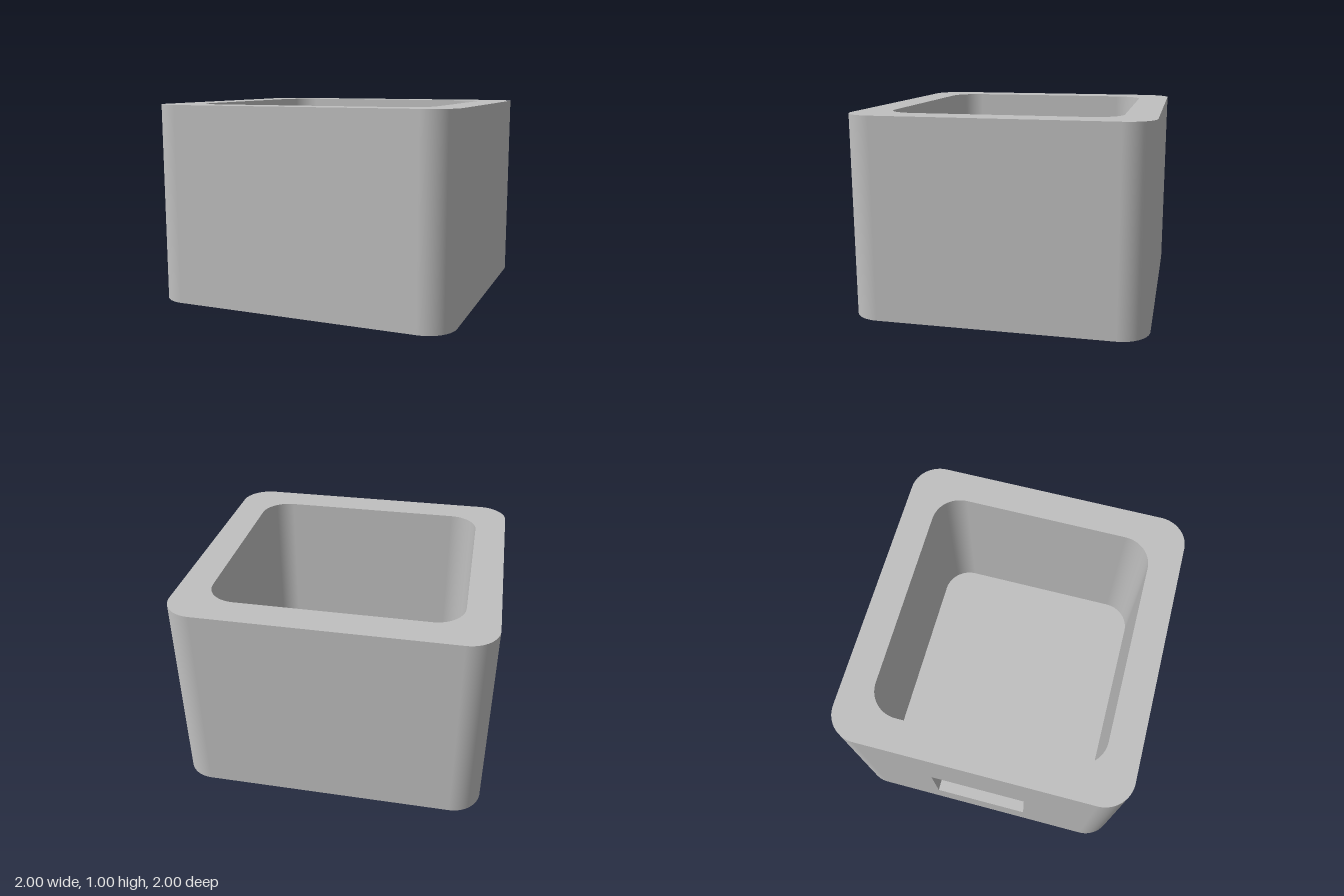
import * as THREE from 'three';

const HEIGHT = 1, FLOOR = 0.16, WALL = 0.16;
const OUTER = { a: 0.77, b: 0.73, r: 0.147 };                 // half length, half width, corner radius
const INNER = { a: OUTER.a - WALL, b: OUTER.b - WALL, r: 0.145 };
const WINDOW = { w: 0.49, y0: 0.21, y1: 0.59 };

// Rounded rectangle as points with outward normals, starting and ending on the -x side
function outline({ a, b, r }, steps = 16) {
  const points = [];
  [[-1, -1], [1, -1], [1, 1], [-1, 1]].forEach(([sx, sz], corner) => {
    for (let i = 0; i <= steps; i++) {
      const t = Math.PI + (corner + i / steps) * Math.PI / 2;
      const nx = Math.cos(t), nz = Math.sin(t);
      points.push({ x: sx * (a - r) + r * nx, z: sz * (b - r) + r * nz, nx, nz });
    }
  });
  return points;
}

const toVectors = (size) => outline(size).map((p) => new THREE.Vector2(p.x, p.z));

// Upright skin around three sides; the -x side is left for the window panel
function skin(size, y0, inward) {
  const pos = [], nor = [], idx = [], s = inward ? -1 : 1;
  outline(size).forEach((p, i) => {
    pos.push(p.x, y0, p.z, p.x, HEIGHT, p.z);
    nor.push(s * p.nx, 0, s * p.nz, s * p.nx, 0, s * p.nz);
    if (i === 0) return;
    const k = 2 * (i - 1);
    if (inward) idx.push(k, k + 2, k + 1, k + 1, k + 2, k + 3);
    else idx.push(k, k + 1, k + 2, k + 1, k + 3, k + 2);
  });
  const g = new THREE.BufferGeometry();
  g.setAttribute('position', new THREE.Float32BufferAttribute(pos, 3));
  g.setAttribute('normal', new THREE.Float32BufferAttribute(nor, 3));
  g.setIndex(idx);
  return g;
}

// Flat panel on the -x side with the window cut out
function windowPanel({ a, b, r }, y0, inward) {
  const q = b - r, h = WINDOW.w / 2;
  const rect = (x, lo, hi) => [[-x, lo], [x, lo], [x, hi], [-x, hi]].map((p) => new THREE.Vector2(...p));
  const shape = new THREE.Shape(rect(q, y0, HEIGHT));
  shape.holes.push(new THREE.Path(rect(h, WINDOW.y0, WINDOW.y1)));
  return new THREE.ShapeGeometry(shape).rotateY(inward ? Math.PI / 2 : -Math.PI / 2).translate(-a, 0, 0);
}

export function createModel() {
  const grey = new THREE.MeshStandardMaterial({ color: 0xc0c0c0 });
  grey.name = 'grey';
  const model = new THREE.Group();
  model.name = 'openBox';
  const add = (name, geometry) => {
    const mesh = new THREE.Mesh(geometry, grey);
    mesh.name = name;
    model.add(mesh);
  };

  // Walls
  add('outerWall', skin(OUTER, 0, false));
  add('innerWall', skin(INNER, FLOOR, true));
  add('outerWindowPanel', windowPanel(OUTER, 0, false));
  add('innerWindowPanel', windowPanel(INNER, FLOOR, true));

  // Rim, floor and base
  const rim = new THREE.Shape(toVectors(OUTER));
  rim.holes.push(new THREE.Path(toVectors(INNER)));
  add('rim', new THREE.ShapeGeometry(rim).rotateX(-Math.PI / 2).translate(0, HEIGHT, 0));
  add('floor', new THREE.ShapeGeometry(new THREE.Shape(toVectors(INNER))).rotateX(-Math.PI / 2).translate(0, FLOOR, 0));
  add('base', new THREE.ShapeGeometry(new THREE.Shape(toVectors(OUTER))).rotateX(Math.PI / 2));

  // Faces lining the window opening
  const x = -OUTER.a + WALL / 2, h = WINDOW.y1 - WINDOW.y0, mid = (WINDOW.y0 + WINDOW.y1) / 2;
  const level = () => new THREE.PlaneGeometry(WALL, WINDOW.w);
  const jamb = () => new THREE.PlaneGeometry(WALL, h);
  add('windowSill', level().rotateX(-Math.PI / 2).translate(x, WINDOW.y0, 0));
  add('windowHead', level().rotateX(Math.PI / 2).translate(x, WINDOW.y1, 0));
  add('windowJambA', jamb().translate(x, mid, -WINDOW.w / 2));
  add('windowJambB', jamb().rotateY(Math.PI).translate(x, mid, WINDOW.w / 2));

  // The box stands corner-on, window to the back
  model.rotation.y = -Math.PI / 4;
  const group = new THREE.Group();
  group.name = 'model';
  group.add(model);
  return group;
}
